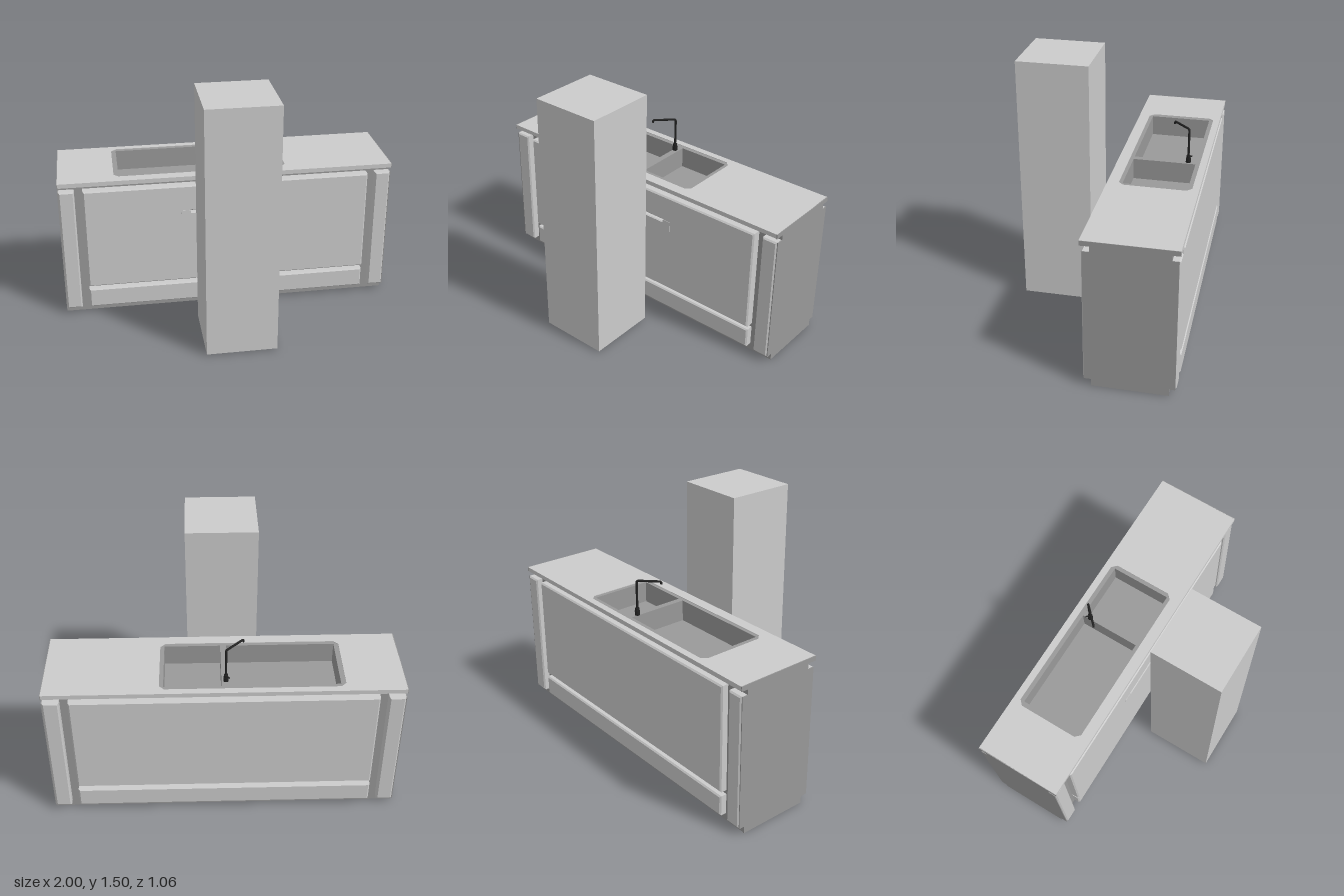
import * as THREE from 'three';

const light = new THREE.MeshStandardMaterial({ color: 0xcccccc });
const dark = new THREE.MeshStandardMaterial({ color: 0x999999 });
const black = new THREE.MeshStandardMaterial({ color: 0x222222 });

function add(parent, name, geometry, material) {
  const mesh = new THREE.Mesh(geometry, material);
  mesh.name = name;
  parent.add(mesh);
  return mesh;
}

// Box given by its lower and upper limits on each axis
function box(parent, name, [x0, x1], [y0, y1], [z0, z1], material) {
  const mesh = add(parent, name, new THREE.BoxGeometry(x1 - x0, y1 - y0, z1 - z0), material);
  mesh.position.set((x0 + x1) / 2, (y0 + y1) / 2, (z0 + z1) / 2);
  return mesh;
}

// Rectangle with optionally chamfered corners
function rect(x0, x1, y0, y1, c = 0, Type = THREE.Shape) {
  const pts = c
    ? [[x0 + c, y0], [x1 - c, y0], [x1, y0 + c], [x1, y1 - c],
       [x1 - c, y1], [x0 + c, y1], [x0, y1 - c], [x0, y0 + c]]
    : [[x0, y0], [x1, y0], [x1, y1], [x0, y1]];
  return new Type(pts.map(([x, y]) => new THREE.Vector2(x, y)));
}

// Horizontal slab with holes; the shape's y is -z
function slab(parent, name, shape, holes, y0, y1, material) {
  shape.holes.push(...holes);
  const geo = new THREE.ExtrudeGeometry(shape, { depth: y1 - y0, bevelEnabled: false });
  geo.rotateX(-Math.PI / 2).translate(0, y0, 0);
  return add(parent, name, geo, material);
}

// Upright panel with a bevelled front edge, from z = 0 to z = depth
function panel(parent, name, shape, depth, bevel = 0.008) {
  const geo = new THREE.ExtrudeGeometry(shape, {
    depth: depth - bevel, bevelThickness: bevel, bevelSize: bevel,
    bevelOffset: -bevel, bevelSegments: 1,
  });
  return add(parent, name, geo, light);
}

// Pilasters, large panel and lower panel of one long face
function face(name, mainDepth, sideDepth, hasHandle) {
  const g = new THREE.Group();
  g.name = name;
  for (const s of [-1, 1]) {
    panel(g, 'pilaster', rect(-0.0455, 0.0455, 0.045, 0.828), sideDepth).position.x = s * 0.9495;
  }
  panel(g, 'lowerPanel', rect(-0.855, 0.855, 0.045, 0.167), sideDepth);
  const main = rect(-0.855, 0.855, 0.192, 0.828);
  if (hasHandle) {
    // Finger slot under the drawer pull
    main.holes.push(rect(-0.225, 0.225, 0.648, 0.664, 0, THREE.Path));
    const plate = new THREE.Shape([
      [-0.28, 0.602], [0.28, 0.602], [0.28, 0.666], [0.225, 0.666], [0.225, 0.648],
      [-0.225, 0.648], [-0.225, 0.666], [-0.28, 0.666],
    ].map(([x, y]) => new THREE.Vector2(x, y)));
    const geo = new THREE.ExtrudeGeometry(plate, { depth: 0.004, bevelEnabled: false });
    add(g, 'handlePlate', geo, light).position.z = mainDepth - 0.002;
  }
  panel(g, 'mainPanel', main, mainDepth);
  return g;
}

function faucet() {
  const g = new THREE.Group();
  g.name = 'faucet';
  const cyl = (name, r, y0, y1) => {
    const m = add(g, name, new THREE.CylinderGeometry(r, r, y1 - y0, 20), black);
    m.position.y = (y0 + y1) / 2;
  };
  cyl('faucetBase', 0.015, 0.885, 0.91);
  cyl('faucetCollar', 0.012, 0.91, 0.927);
  // Riser, arm and outlet as one bent pipe
  const path = new THREE.CurvePath();
  const P = (x, y) => new THREE.Vector3(x, y, 0);
  path.add(new THREE.LineCurve3(P(0, 0.92), P(0, 1.08)));
  path.add(new THREE.QuadraticBezierCurve3(P(0, 1.08), P(0, 1.092), P(0.012, 1.092)));
  path.add(new THREE.LineCurve3(P(0.012, 1.092), P(0.128, 1.092)));
  path.add(new THREE.QuadraticBezierCurve3(P(0.128, 1.092), P(0.138, 1.092), P(0.138, 1.08)));
  add(g, 'spout', new THREE.TubeGeometry(path, 96, 0.0065, 12), black);
  const tip = add(g, 'outlet', new THREE.CylinderGeometry(0.0065, 0.0065, 0.004, 12), black);
  tip.position.set(0.138, 1.079, 0);
  // Small side lever
  const lever = add(g, 'lever', new THREE.CylinderGeometry(0.004, 0.004, 0.026, 10), black);
  lever.rotation.x = Math.PI / 2;
  lever.position.set(0, 0.916, 0.014);
  g.position.set(-0.01, 0, -0.42);
  g.rotation.y = -Math.PI * 0.75;
  return g;
}

export function createModel() {
  const model = new THREE.Group();
  model.name = 'kitchenIsland';

  // Free-standing tall block
  box(model, 'tallBlock', [-0.208, 0.205], [0.008, 1.505], [0.115, 0.532], light);

  // Recessed carcass; its top is the basin floor
  const front = -0.07, back = -0.487, floor = 0.76;
  box(model, 'carcass', [-0.995, 0.995], [0, floor], [back, front], dark);
  const basins = () => [
    rect(-0.64, -0.02, 0.102, 0.465, 0, THREE.Path),
    rect(0.015, 0.335, 0.102, 0.465, 0, THREE.Path),
  ];
  slab(model, 'basinSurround', rect(-0.995, 0.995, -front, -back), basins(), floor, 0.862, dark);
  slab(model, 'sinkRim', rect(-0.668, 0.358, 0.08, 0.49, 0.028), basins(), 0.862, 0.885, dark);

  // Worktop with a chamfered cut-out
  slab(model, 'worktop', rect(-0.997, 0.997, 0.016, 0.53),
    [rect(-0.668, 0.358, 0.08, 0.49, 0.028, THREE.Path)], 0.862, 0.888, light);

  // End panels follow the stepped side profile
  const half = [[-0.49, 0], [-0.49, 0.042], [-0.523, 0.042], [-0.523, 0.828], [-0.487, 0.828],
    [-0.487, 0.86], [-0.53, 0.86], [-0.53, 0.888], [-0.016, 0.888], [-0.016, 0.86],
    [-0.07, 0.86], [-0.07, 0.828], [-0.03, 0.828], [-0.03, 0.042], [-0.07, 0.042], [-0.07, 0]];
  const profile = new THREE.Shape(half.map(([z, y]) => new THREE.Vector2(-z, y)));
  const endGeo = new THREE.ExtrudeGeometry(profile, { depth: 0.005, bevelEnabled: false });
  endGeo.rotateY(Math.PI / 2);
  for (const x of [-1, 0.995]) add(model, 'endPanel', endGeo, dark).position.x = x;

  // Front and back faces
  const frontFace = face('frontFace', 0.054, 0.046, true);
  frontFace.position.z = front;
  const backFace = face('backFace', 0.042, 0.042, false);
  backFace.position.z = back;
  backFace.rotation.y = Math.PI;
  model.add(frontFace, backFace);

  model.add(faucet());
  return model;
}
